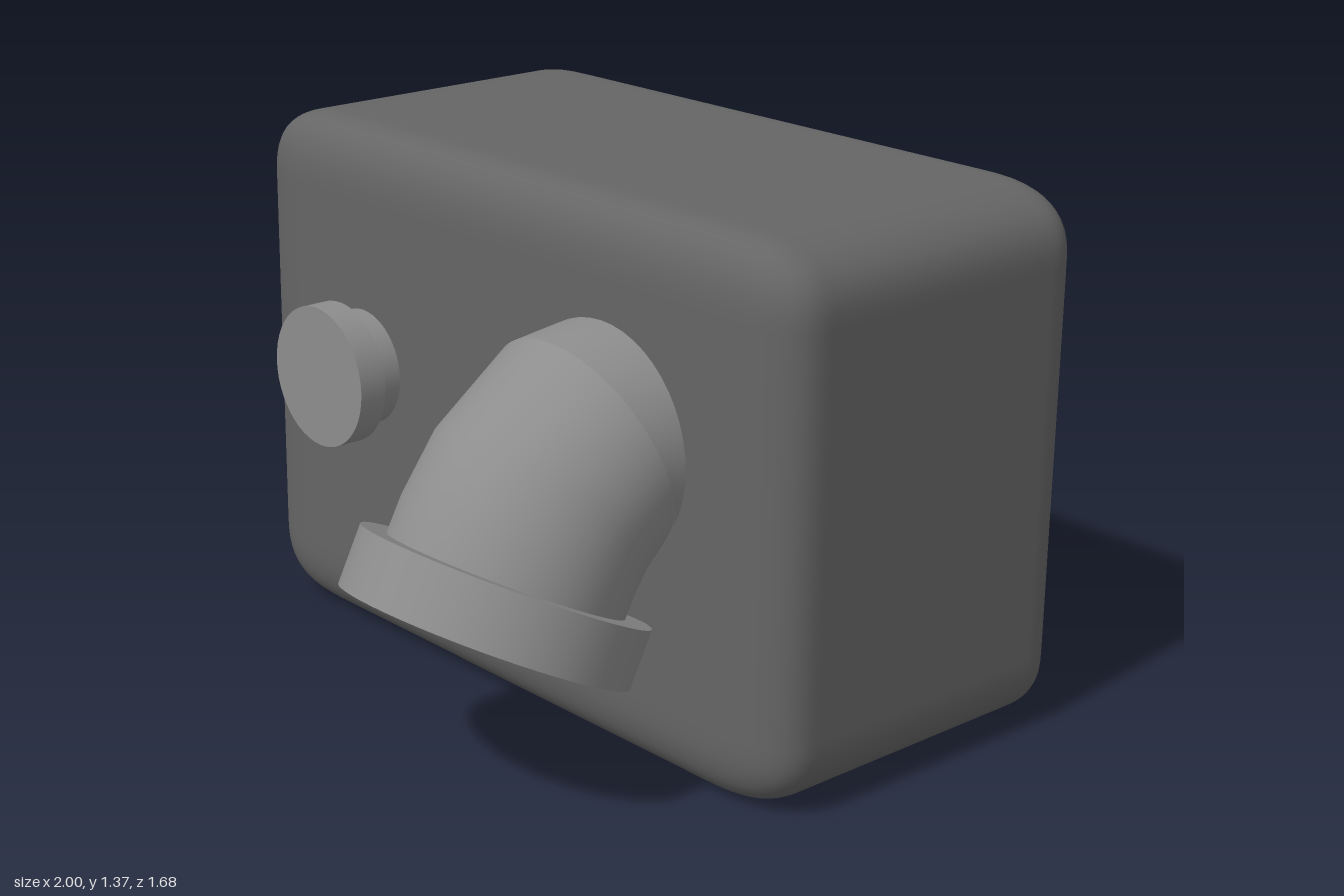
import * as THREE from 'three';
import { RoundedBoxGeometry } from 'three/addons/geometries/RoundedBoxGeometry.js';
import { mergeVertices } from 'three/addons/utils/BufferGeometryUtils.js';

const bodyMaterial = new THREE.MeshStandardMaterial({ color: 0x656565 });
const metalMaterial = new THREE.MeshStandardMaterial({ color: 0x8d8d8d });

function addMesh(parent, name, geometry, material, x = 0, y = 0, z = 0, tilt = 0) {
  const mesh = new THREE.Mesh(geometry, material);
  mesh.name = name;
  mesh.position.set(x, y, z);
  mesh.rotation.x = tilt;
  parent.add(mesh);
  return mesh;
}

// Unit cube whose rounded edges follow a squarer, superelliptic curve
function softCube(radius, power) {
  const geometry = new RoundedBoxGeometry(1, 1, 1, 6, radius);
  const { position, normal } = geometry.attributes;
  const limit = new THREE.Vector3().setScalar(0.5 - radius);
  const point = new THREE.Vector3();
  const core = new THREE.Vector3();
  const gradient = (v) => Math.sign(v) * Math.abs(v) ** (power - 1);
  for (let i = 0; i < position.count; i++) {
    point.fromBufferAttribute(position, i);
    core.copy(point).clamp(limit.clone().negate(), limit);
    point.sub(core);
    const size = point.toArray().reduce((sum, v) => sum + Math.abs(v) ** power, 0) ** (1 / power);
    point.multiplyScalar(radius / size);
    position.setXYZ(i, core.x + point.x, core.y + point.y, core.z + point.z);
    point.divideScalar(radius);
    point.set(gradient(point.x), gradient(point.y), gradient(point.z)).normalize();
    normal.setXYZ(i, point.x, point.y, point.z);
  }
  return geometry;
}

// Bent pipe: each row of an open cylinder is moved to a tilted ring [z, y, tilt]
function bentPipe(radius, rings) {
  const rows = rings.length - 1;
  let geometry = new THREE.CylinderGeometry(radius, radius, rows, 48, rows, true);
  const p = geometry.attributes.position;
  for (let i = 0; i < p.count; i++) {
    const [z, y, tilt] = rings[Math.round(rows / 2 - p.getY(i))];
    const s = p.getZ(i);
    p.setXYZ(i, p.getX(i), y + s * Math.cos(tilt), z + s * Math.sin(tilt));
  }
  geometry.deleteAttribute('normal');
  geometry.deleteAttribute('uv');
  geometry = mergeVertices(geometry);
  geometry.computeVertexNormals();
  return geometry;
}

export function createModel() {
  const model = new THREE.Group();
  model.name = 'handDryer';

  // Housing: soft cube stretched so the rounding stretches with it
  const housing = softCube(0.14, 2.7);
  housing.scale(2, 1.365, 1.01);
  addMesh(model, 'housing', housing, bodyMaterial, 0, 0.6825, -0.335);

  // Push button on a narrower stem
  const button = new THREE.Group();
  button.name = 'button';
  button.position.set(-0.523, 0.752, 0);
  model.add(button);
  addMesh(button, 'buttonStem', new THREE.CylinderGeometry(0.15, 0.15, 0.12, 48),
    metalMaterial, 0, 0, 0.19, Math.PI / 2);
  addMesh(button, 'buttonCap', new THREE.CylinderGeometry(0.184, 0.184, 0.075, 48),
    metalMaterial, 0, 0, 0.28, Math.PI / 2);

  // Air nozzle: pipe with a crease at the start of its bend, ending in a wide collar
  const nozzle = new THREE.Group();
  nozzle.name = 'nozzle';
  nozzle.position.x = 0.398;
  model.add(nozzle);
  const bendStart = [0.222, 0.797, 0.38];
  addMesh(nozzle, 'nozzleNeck', bentPipe(0.293, [
    [0.05, 0.797, 0],
    [0.17, 0.796, 0.02],
    bendStart,
  ]), metalMaterial);
  addMesh(nozzle, 'nozzleBend', bentPipe(0.293, [
    bendStart,
    [0.353, 0.693, 0.785],
    [0.421, 0.598, 1.02],
    [0.468, 0.51, 1.104],
  ]), metalMaterial);
  addMesh(nozzle, 'nozzleCollar', new THREE.CylinderGeometry(0.358, 0.358, 0.148, 48),
    metalMaterial, 0, 0.464, 0.489, -0.467);

  return model;
}
